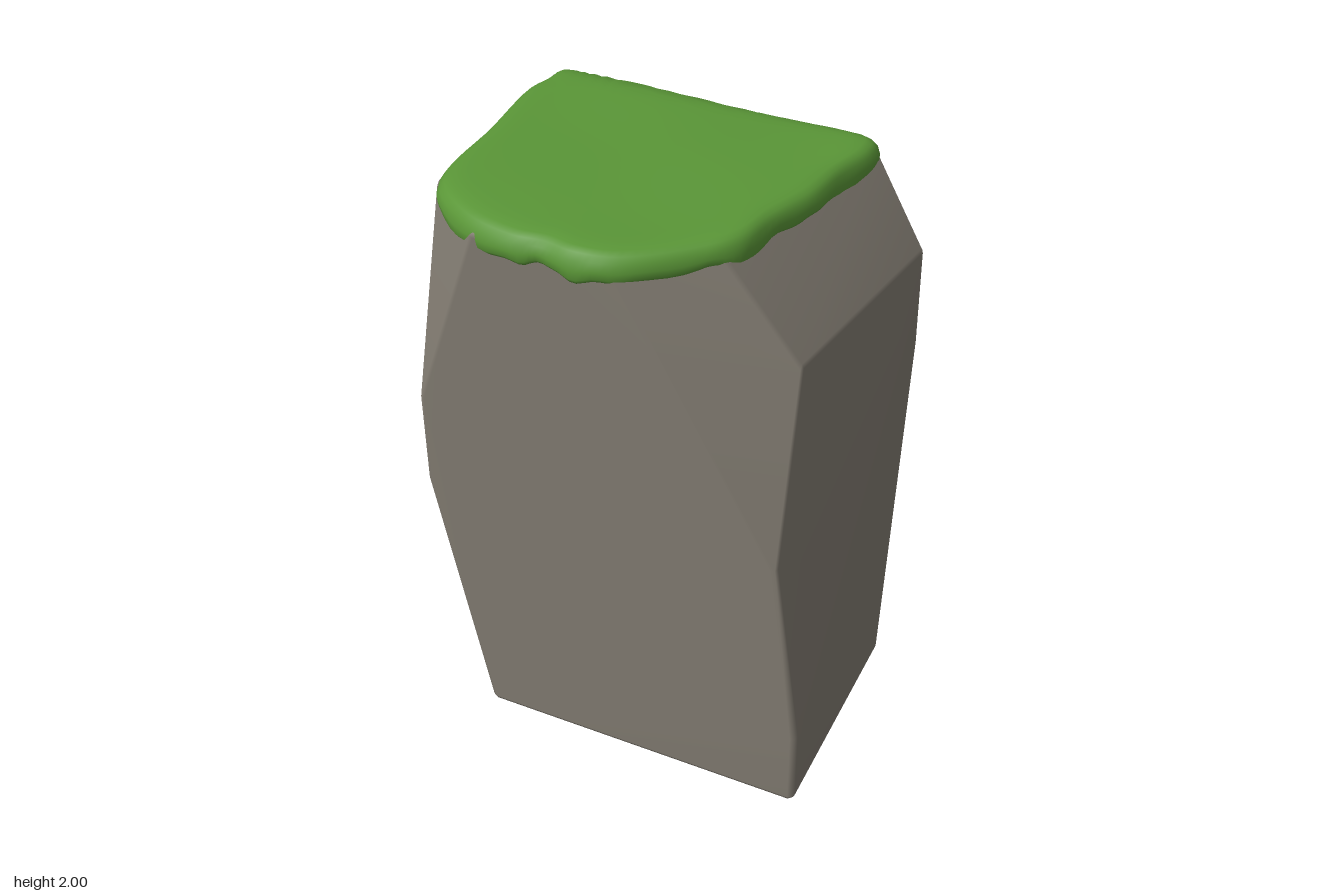
import * as THREE from 'three';
import { mergeVertices } from 'three/addons/utils/BufferGeometryUtils.js';
import { ConvexGeometry } from 'three/addons/geometries/ConvexGeometry.js';

const TOP = 1.955;

// Corners of the chiselled boulder
const ROCK_CORNERS = [
  // base
  [0.66, 0, 0.6], [0.66, 0, -0.19], [-0.16, 0, -0.61], [-0.56, 0, -0.38], [-0.46, 0, 0.6],
  // left side
  [-0.655, 0.95, 0.6], [-0.655, 0.48, -0.47], [-0.655, 1.28, 0.6], [-0.655, 1.24, -0.61], [-0.655, 1.72, -0.61],
  // back and right side
  [-0.05, 0.46, -0.61], [-0.05, 1.71, -0.61], [0.66, 1.27, -0.35], [0.66, 1.62, -0.34],
  [0.66, 0.3, 0.6], [0.55, 1.0, 0.6], [0.52, 1.6, 0.36],
  // top
  [-0.41, TOP, 0.6], [0.03, TOP, 0.6], [0.27, TOP, 0.38], [0.46, TOP, -0.35], [-0.655, TOP, -0.36], [-0.655, TOP, 0.38],
];

// Outline of the moss seen from above (x, z)
const MOSS_OUTLINE = [
  [-0.65, -0.6], [-0.48, -0.63], [-0.4, -0.61], [-0.33, -0.62], [-0.15, -0.575], [0, -0.53], [0.08, -0.505], [0.18, -0.43],
  [0.34, -0.43], [0.48, -0.37], [0.495, -0.29], [0.45, -0.13], [0.425, 0.02], [0.37, 0.18], [0.33, 0.34],
  [0.24, 0.45], [0.05, 0.6], [-0.08, 0.625], [-0.18, 0.61], [-0.28, 0.62], [-0.45, 0.58], [-0.6, 0.47],
  [-0.648, 0.37], [-0.65, 0.1], [-0.665, -0.2], [-0.642, -0.3], [-0.65, -0.45],
];

// Convex hull of small rounded corners, giving softly bevelled edges
function rockGeometry(radius) {
  const ball = mergeVertices(new THREE.OctahedronGeometry(radius, 1).deleteAttribute('normal').deleteAttribute('uv'));
  const ballPos = ball.attributes.position;
  const lo = new THREE.Vector3(-0.655, 0, -0.61).addScalar(radius);
  const hi = new THREE.Vector3(0.66, TOP, 0.6).subScalar(radius);
  const points = [];
  for (const corner of ROCK_CORNERS) {
    const centre = new THREE.Vector3(...corner).clamp(lo, hi);
    for (let i = 0; i < ballPos.count; i++) {
      points.push(new THREE.Vector3().fromBufferAttribute(ballPos, i).add(centre));
    }
  }
  const hull = new ConvexGeometry(points);
  hull.deleteAttribute('normal');
  const geometry = mergeVertices(hull, 1e-5);
  geometry.computeVertexNormals();
  return geometry;
}

// Height of the rock under the moss: flat, then falling away at the back
const groundHeight = (z) => {
  const slope = TOP + (z + 0.36) * 0.93;
  const d = TOP - slope;
  return (TOP + slope - Math.sqrt(d * d + 0.0008)) / 2 + 0.002;
};

// Draped moss made of rings running from the tucked-under rim to the middle
function mossGeometry() {
  const segments = 144;
  const centre = new THREE.Vector2(-0.1, -0.02);
  const curve = new THREE.CatmullRomCurve3(MOSS_OUTLINE.map(([x, z]) => new THREE.Vector3(x, 0, z)), true);
  // [scale, height above the rock, share of the ragged rim]
  const rings = [
    [0.93, -0.05, 1], [0.985, -0.058, 1], [1, -0.045, 0.9], [1.003, -0.02, 0.5], [0.99, 0.008, 0.2],
    [0.965, 0.025, 0], [0.93, 0.034, 0], [0.87, 0.037, 0],
  ];
  for (let k = 0.8; k > 0.05; k -= 0.08) rings.push([k, 0.037, 0]);
  rings.push([0, 0.037, 0]);

  const positions = [], index = [];
  for (const [scale, lift, ragged] of rings) {
    for (let i = 0; i < segments; i++) {
      const t = (i / segments) * Math.PI * 2;
      const p = curve.getPoint(i / segments);
      const x = centre.x + (p.x - centre.x) * scale;
      const z = centre.y + (p.z - centre.y) * scale;
      const rim = 0.008 * Math.sin(9 * t + 1) + 0.006 * Math.sin(17 * t) + 0.004 * Math.sin(31 * t + 2);
      const bump = 0.004 * Math.sin(7 * x + 1) * Math.cos(8 * z);
      positions.push(x, groundHeight(z) + lift + bump + ragged * rim, z);
    }
  }
  for (let r = 0; r < rings.length - 1; r++) {
    for (let i = 0; i < segments; i++) {
      const a = r * segments + i, b = r * segments + (i + 1) % segments;
      index.push(a, a + segments, b);
      if (r < rings.length - 2) index.push(b, a + segments, b + segments);
    }
  }
  const raw = new THREE.BufferGeometry();
  raw.setAttribute('position', new THREE.Float32BufferAttribute(positions, 3));
  raw.setIndex(index);
  const geometry = mergeVertices(raw, 1e-5);
  geometry.computeVertexNormals();
  return geometry;
}

export function createModel() {
  const stone = new THREE.MeshStandardMaterial({ color: 0x807a70 });
  stone.name = 'stone grey';
  const green = new THREE.MeshStandardMaterial({ color: 0x5a9637 });
  green.name = 'moss green';

  const rock = new THREE.Mesh(rockGeometry(0.02), stone);
  rock.name = 'rock';
  const moss = new THREE.Mesh(mossGeometry(), green);
  moss.name = 'moss';

  const model = new THREE.Group();
  model.name = 'mossyRock';
  model.add(rock, moss);
  return model;
}
